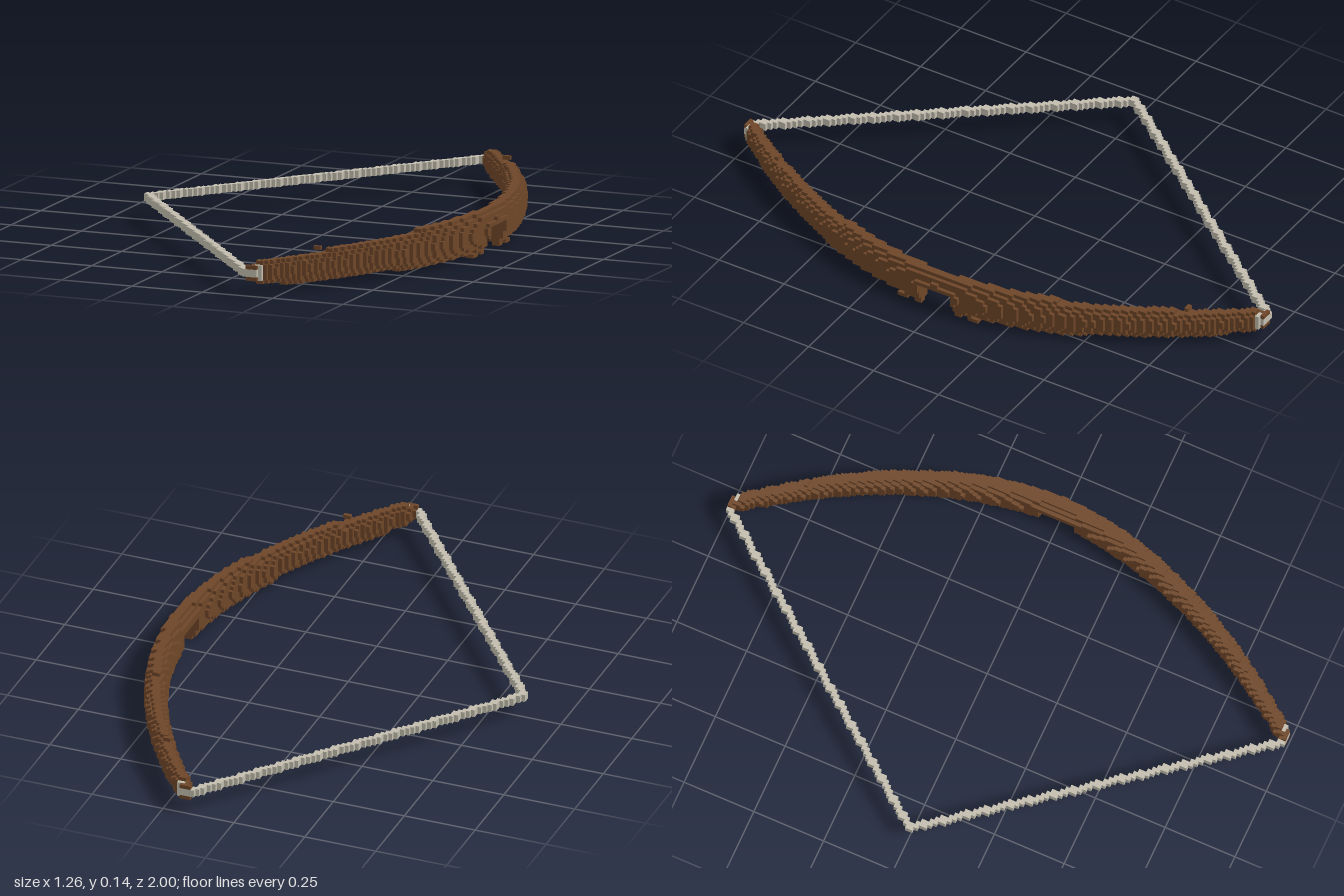
import * as THREE from 'three';

// Drawn bow lying flat, built from small cubes on a regular grid
const S = 2 / 156;
const CENTRE_ROW = 6;

// A set of grid cells that turns into a mesh of its exposed faces only
class Cells {
  constructor() { this.map = new Map(); }
  key(i, j, k) { return `${i},${j},${k}`; }
  has(i, j, k) { return this.map.has(this.key(i, j, k)); }
  add(i, j, k) { this.map.set(this.key(i, j, k), [i, j, k]); }
  remove(i, j, k) { this.map.delete(this.key(i, j, k)); }

  mesh(name, material) {
    const pos = [], norm = [], index = [];
    for (const cell of this.map.values()) {
      for (let axis = 0; axis < 3; axis++) {
        for (const side of [-1, 1]) {
          const n = [0, 0, 0];
          n[axis] = side;
          if (this.has(cell[0] + n[0], cell[1] + n[1], cell[2] + n[2])) continue;
          const u = (axis + 1) % 3, v = (axis + 2) % 3, base = pos.length / 3;
          for (const [a, b] of [[0, 0], [1, 0], [1, 1], [0, 1]]) {
            const p = [...cell];
            if (side > 0) p[axis] += 1;
            p[u] += a;
            p[v] += b;
            pos.push(p[0] * S, p[1] * S, p[2] * S);
            norm.push(...n);
          }
          const order = side > 0 ? [0, 1, 2, 0, 2, 3] : [0, 2, 1, 0, 3, 2];
          index.push(...order.map((o) => base + o));
        }
      }
    }
    const geo = new THREE.BufferGeometry();
    geo.setAttribute('position', new THREE.Float32BufferAttribute(pos, 3));
    geo.setAttribute('normal', new THREE.Float32BufferAttribute(norm, 3));
    geo.setIndex(index);
    const mesh = new THREE.Mesh(geo, material);
    mesh.name = name;
    return mesh;
  }
}

const pick = (z, steps) => steps.find(([limit]) => z < limit)[1];
const centreX = (z) => 0.589 - 0.425 * Math.pow(z, 1.9);

export function createModel() {
  const wood = new THREE.MeshStandardMaterial({ color: 0x6e4628 });
  wood.name = 'brown wood';
  const cord = new THREE.MeshStandardMaterial({ color: 0xc2bdae });
  cord.name = 'pale cord';

  const limb = new Cells();
  const string = new Cells();

  for (let half = 0; half < 78; half++) {
    const z = (half + 0.5) * S;
    const x = centreX(z);
    const width = 0.038 - 0.01 * z * z;
    const up = pick(z, [[0.41, 5], [0.76, 4], [0.975, 3], [2, 2]]);
    const down = pick(z, [[0.5, 5], [0.9, 4], [0.975, 3], [2, 2]]);

    for (const k of [half, -half - 1]) {
      // Curved limb: stepped oval cross-section, tapering to the tips
      for (let j = CENTRE_ROW - down; j < CENTRE_ROW + up; j++) {
        const dy = j + 0.5 - CENTRE_ROW;
        const w = width * Math.sqrt(1 - (dy / (dy > 0 ? up : down)) ** 2);
        const from = Math.round((x - w) / S), to = Math.round((x + w) / S);
        for (let i = from; i < to; i++) {
          // Arrow slot under the grip
          if (half < 5 && j < 7) continue;
          limb.add(i, j, k);
        }
      }
      // Small lugs beside the slot
      if (half === 5 || half === 6 || (half >= 9 && half <= 11)) {
        for (const i of [45, 46]) limb.add(i, 0, k);
      }
      // Single raised knot on each limb
      if (half === 61) {
        const i = Math.round(x / S);
        for (const c of [i - 1, i]) limb.add(c, 10, k);
      }
      // Drawn string, two cells square
      if (half < 77) {
        const i = Math.round(-49 + (half / 77) * 60);
        for (const c of [i, i + 1]) for (const j of [5, 6]) string.add(c, j, k);
      }
      // String loop around the tip
      if (half === 77) {
        for (let i = 11; i < 15; i++) for (const j of [5, 6]) string.add(i, j, k);
      }
      if (half === 76) {
        for (const i of [14, 15]) for (let j = 4; j < 8; j++) string.add(i, j, k);
      }
    }
  }
  for (const [i, j, k] of string.map.values()) limb.remove(i, j, k);

  const bow = new THREE.Group();
  bow.name = 'bow';
  bow.add(limb.mesh('limb', wood), string.mesh('bowstring', cord));
  return bow;
}
